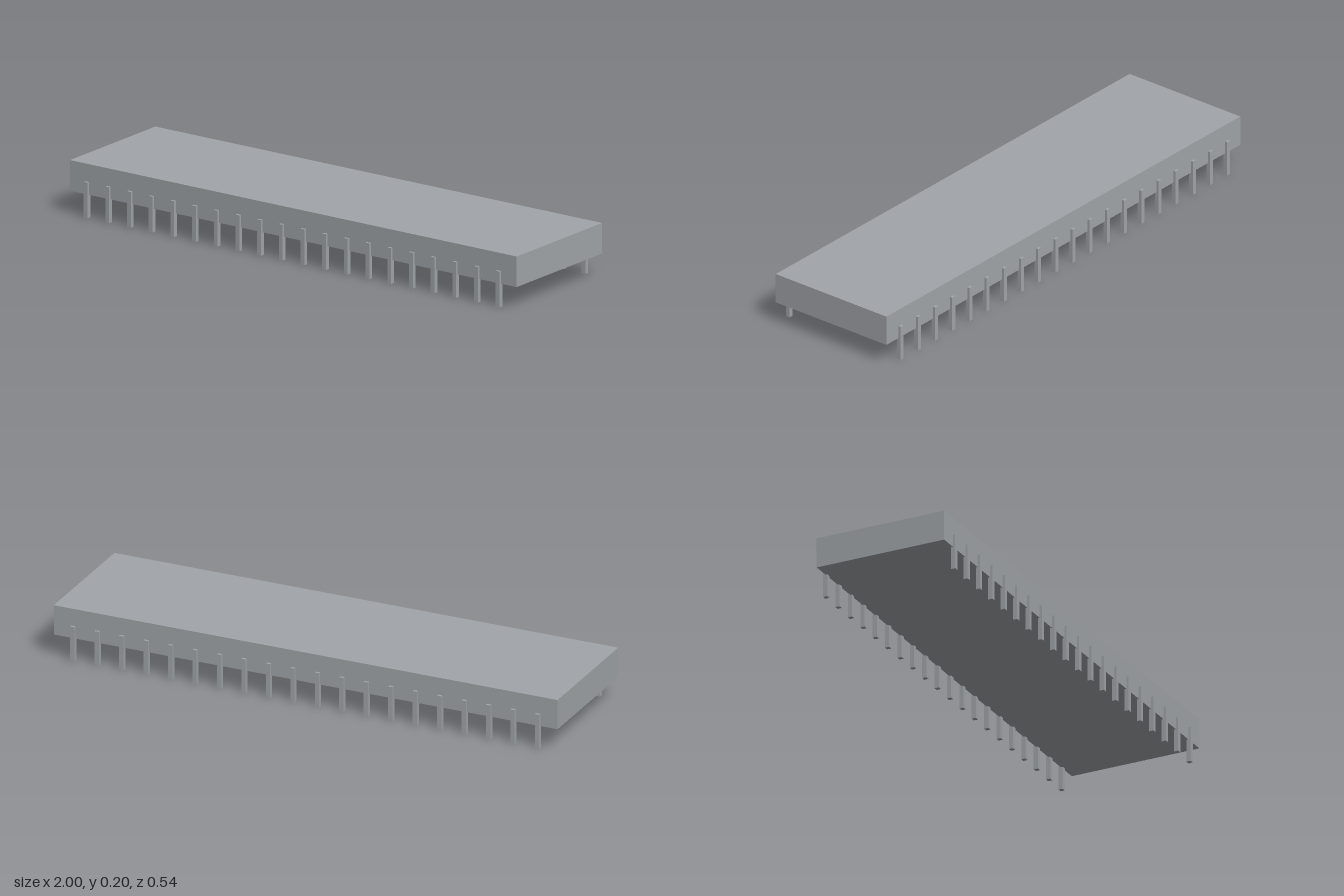
import * as THREE from 'three';

export function createModel() {
  const group = new THREE.Group();
  const material = new THREE.MeshStandardMaterial({ color: 0xa1a5a9, flatShading: true });

  // Flat rectangular package body
  const bottom = 0.087, top = 0.202, halfDepth = 0.258;
  const body = new THREE.Mesh(new THREE.BoxGeometry(2, top - bottom, halfDepth * 2), material);
  body.name = 'body';
  body.position.y = (bottom + top) / 2;
  group.add(body);

  // Two rows of square pins, half sunk into the long sides
  const pinCount = 20, firstX = -0.923, pitch = 0.0971, pinHeight = 0.135, pinWidth = 0.017, pinZ = 0.259;
  const pinGeometry = new THREE.BoxGeometry(pinWidth, pinHeight, pinWidth);
  for (const [side, rowName] of [[1, 'frontPins'], [-1, 'backPins']]) {
    const row = new THREE.Group();
    row.name = rowName;
    for (let i = 0; i < pinCount; i++) {
      const pin = new THREE.Mesh(pinGeometry, material);
      pin.name = 'pin';
      pin.position.set(firstX + i * pitch, pinHeight / 2, side * pinZ);
      row.add(pin);
    }
    group.add(row);
  }
  return group;
}
